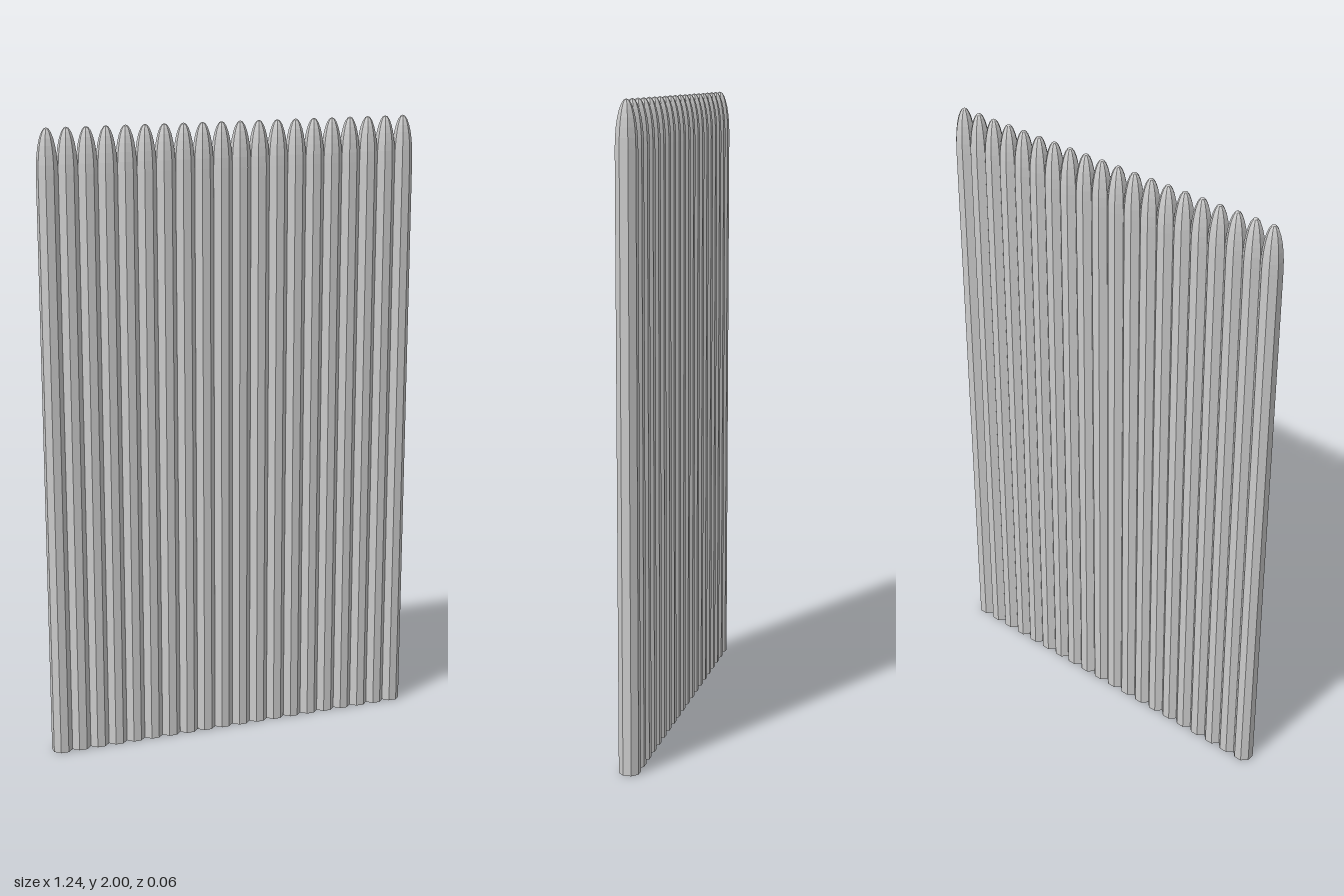
import * as THREE from 'three';

const COUNT = 20;        // stakes in the row
const SPACING = 0.0618;  // distance between stakes
const RADIUS = 0.0334;   // corner radius of the octagonal section
const SHOULDER = 1.86;   // height where the rounded tip begins
const HEIGHT = 2;
const TIP_RINGS = 7;

// Octagonal stake: flat base, straight shaft, elongated domed tip
function stakeGeometry() {
  const profile = [new THREE.Vector2(0, 0), new THREE.Vector2(RADIUS, 0)];
  for (let i = 0; i <= TIP_RINGS; i++) {
    const a = (i / TIP_RINGS) * Math.PI / 2;
    const r = i === TIP_RINGS ? 0 : RADIUS * Math.cos(a);
    profile.push(new THREE.Vector2(r, SHOULDER + (HEIGHT - SHOULDER) * Math.sin(a)));
  }
  // Turned half a side so that flats face front, back and the neighbours
  return new THREE.LatheGeometry(profile, 8, Math.PI / 8);
}

export function createModel() {
  const group = new THREE.Group();
  group.name = 'palisadeWall';
  const material = new THREE.MeshStandardMaterial({ color: 0xcccccc, flatShading: true });
  const geometry = stakeGeometry();

  // Row of stakes side by side
  for (let i = 0; i < COUNT; i++) {
    const stake = new THREE.Mesh(geometry, material);
    stake.name = `stake${i + 1}`;
    stake.position.x = (i - (COUNT - 1) / 2) * SPACING;
    group.add(stake);
  }
  return group;
}
